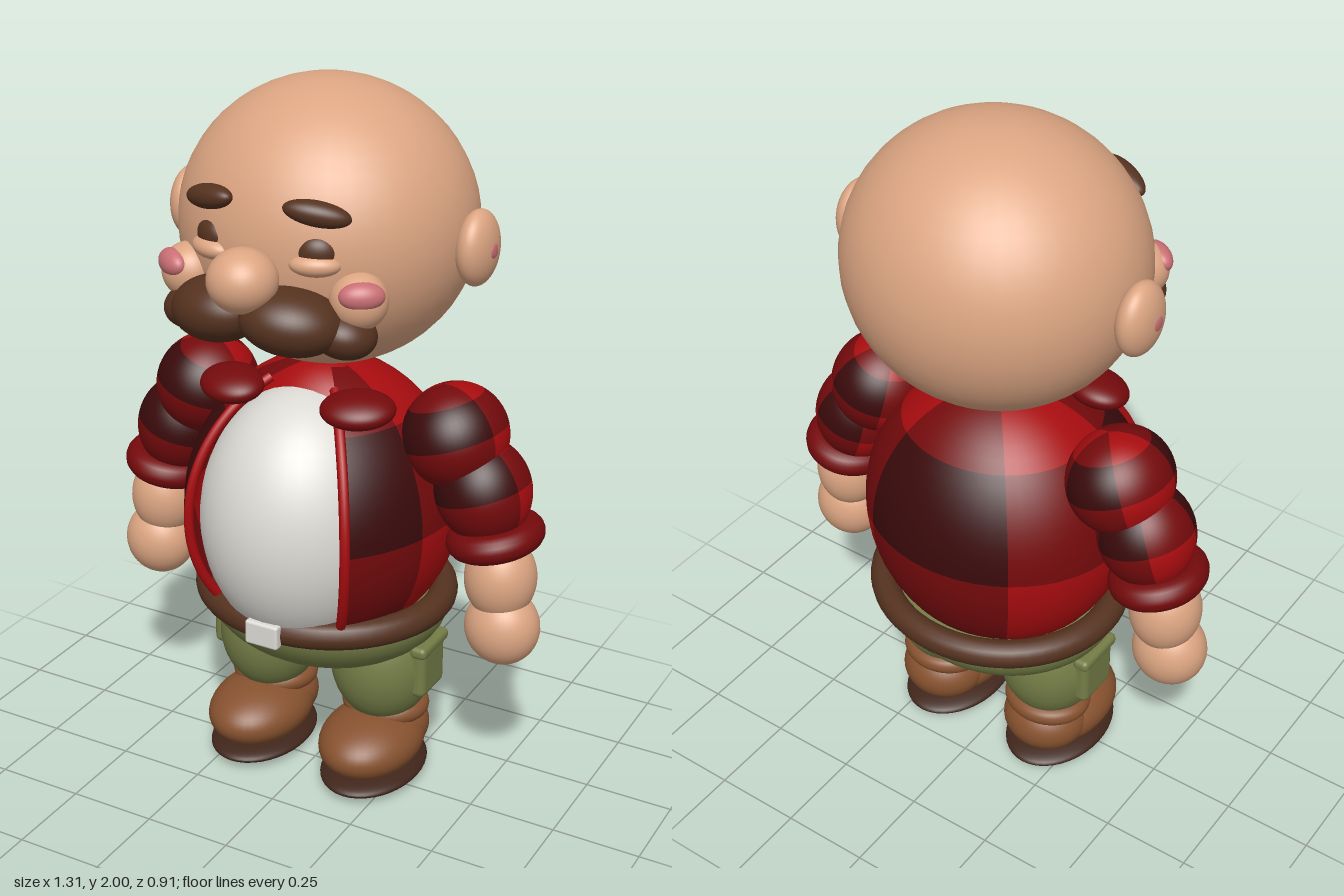
import * as THREE from 'three';
import { mergeGeometries } from 'three/addons/utils/BufferGeometryUtils.js';
import { RoundedBoxGeometry } from 'three/addons/geometries/RoundedBoxGeometry.js';

const colours = {
  skin: 0xdca582, hair: 0x55321f, blush: 0xc96f74, white: 0xdcdad4,
  red: 0xa80c0f, midRed: 0x740a0c, darkRed: 0x3a0a0b,
  olive: 0x747c46, boot: 0x87522f, sole: 0x40251a,
};

export function createModel() {
  const model = new THREE.Group();
  model.name = 'stoutMan';
  const mat = {};
  for (const [name, hex] of Object.entries(colours)) {
    mat[name] = new THREE.MeshStandardMaterial({ color: hex });
    mat[name].name = name;
  }
  for (const name of ['red', 'midRed', 'darkRed']) mat[name].side = THREE.DoubleSide;

  function add(name, geometry, material, pos = [0, 0, 0], rot = [0, 0, 0]) {
    const mesh = new THREE.Mesh(geometry, material);
    mesh.name = name;
    mesh.position.set(...pos);
    mesh.rotation.set(...rot);
    model.add(mesh);
    return mesh;
  }
  const ball = (name, material, pos, radii, rot) =>
    add(name, new THREE.SphereGeometry(1, 40, 28).scale(...radii), material, pos, rot);
  const ring = (name, material, pos, rx, rz, tube, rot) =>
    add(name, new THREE.TorusGeometry(1, tube / rx, 16, 56).rotateX(Math.PI / 2)
      .scale(rx, rx, rz), material, pos, rot);

  // Checked cloth: five columns by four rows of sphere patches, sorted by colour
  function checked(name, pos, radii, rot, gap = 0, frontDepth = radii[2]) {
    const cells = [[], [], []];
    const col = Math.PI * 2 / 5, row = Math.PI / 4;
    for (let i = 0; i < 5; i++) for (let j = 0; j < 4; j++) {
      const start = i * col + (i === 0 ? gap : 0);
      const end = (i + 1) * col - (i === 4 ? gap : 0);
      const patch = new THREE.SphereGeometry(1, 10, 8, Math.PI / 2 + start, end - start, j * row, row);
      cells[(i % 2 === 0 ? 1 : 0) + (j % 2)].push(patch);
    }
    const geometry = mergeGeometries(cells.map((list) => mergeGeometries(list)), true);
    const p = geometry.attributes.position, n = geometry.attributes.normal;
    const v = new THREE.Vector3();
    for (let k = 0; k < p.count; k++) {
      const depth = p.getZ(k) > 0 ? frontDepth : radii[2];
      v.set(n.getX(k) / radii[0], n.getY(k) / radii[1], n.getZ(k) / depth).normalize();
      n.setXYZ(k, v.x, v.y, v.z);
      p.setXYZ(k, p.getX(k) * radii[0], p.getY(k) * radii[1], p.getZ(k) * depth);
    }
    return add(name, geometry, [mat.red, mat.midRed, mat.darkRed], pos, rot);
  }

  // Head
  ball('head', mat.skin, [0, 1.62, -0.075], [0.4, 0.38, 0.383]);
  ball('nose', mat.skin, [0, 1.58, 0.365], [0.09, 0.082, 0.09]);
  ball('mouth', mat.red, [0, 1.405, 0.235], [0.075, 0.042, 0.04]);

  // Torso: open checked shirt over a white belly
  const gap = 0.68, shirt = [0.38, 0.41, 0.34], frontDepth = 0.44;
  checked('shirt', [0, 0.83, -0.07], shirt, [0, 0, 0], gap, frontDepth);
  ball('belly', mat.white, [0, 0.82, 0.05], [0.285, 0.37, 0.305]);
  ball('neckBand', mat.red, [0, 0.95, -0.05], [0.25, 0.295, 0.2]);

  // Trousers, belt and buckle
  const hips = [[0, 0.34]];
  for (let i = 1; i <= 12; i++) {
    const a = i / 12 * Math.PI / 2;
    hips.push([Math.sin(a), 0.53 - 0.19 * Math.cos(a)]);
  }
  hips.push([0.98, 0.555], [0, 0.56]);
  add('trouserSeat', new THREE.LatheGeometry(hips.map((h) => new THREE.Vector2(...h)), 56)
    .scale(0.355, 1, 0.31), mat.olive, [0, 0, -0.07]);
  ring('belt', mat.hair, [0, 0.555, -0.065], 0.337, 0.315, 0.04);
  add('buckle', new RoundedBoxGeometry(0.1, 0.07, 0.03, 3, 0.008), mat.white, [0, 0.555, 0.288]);

  for (const s of [-1, 1]) {
    const side = s > 0 ? 'left' : 'right';
    const pair = (name, material, [x, y, z], radii, [a, b, c] = [0, 0, 0]) =>
      ball(side + name, material, [s * x, y, z], radii, [a, s * b, s * c]);

    // Face
    pair('Ear', mat.skin, [0.425, 1.605, -0.08], [0.05, 0.1, 0.086]);
    pair('EarBlush', mat.blush, [0.472, 1.605, -0.075], [0.006, 0.02, 0.02]);
    pair('Eyebrow', mat.hair, [0.153, 1.745, 0.265], [0.086, 0.032, 0.035], [0, 0.38, -0.17]);
    pair('Eye', mat.hair, [0.148, 1.645, 0.255], [0.053, 0.044, 0.035], [0, 0.38, 0]);
    pair('Eyelid', mat.skin, [0.148, 1.615, 0.265], [0.066, 0.03, 0.04], [0, 0.38, 0]);
    pair('Cheek', mat.skin, [0.245, 1.525, 0.22], [0.075, 0.075, 0.072]);
    const blush = pair('Blush', mat.blush, [0.273, 1.552, 0.257], [0.058, 0.036, 0.032]);
    blush.lookAt(s * 0.773, 1.95, 0.99);
    pair('MoustacheLobe', mat.hair, [0.105, 1.475, 0.31], [0.135, 0.085, 0.11], [0, 0.35, -0.12]);
    pair('MoustacheTip', mat.hair, [0.215, 1.44, 0.24], [0.085, 0.062, 0.085], [0, 0.5, -0.2]);

    // Shirt edge and collar
    const edge = [];
    for (let i = 0; i <= 12; i++) {
      const t = 0.42 + i / 12 * 1.9;
      edge.push(new THREE.Vector3(
        s * shirt[0] * Math.sin(gap) * Math.sin(t),
        0.83 + shirt[1] * Math.cos(t),
        -0.07 + frontDepth * Math.cos(gap) * Math.sin(t)));
    }
    add(side + 'ShirtEdge', new THREE.TubeGeometry(new THREE.CatmullRomCurve3(edge), 32, 0.014, 8), mat.red);
    pair('Collar', mat.midRed, [0.19, 1.185, 0.115], [0.1, 0.042, 0.08], [0.2, 0.4, -0.05]);

    // Arm
    checked(side + 'UpperSleeve', [s * 0.385, 1.085, -0.07], [0.142, 0.142, 0.153], [0, 0, s * 0.3]);
    checked(side + 'LowerSleeve', [s * 0.47, 0.945, -0.07], [0.13, 0.145, 0.135], [0, 0, s * 0.3]);
    ring(side + 'Cuff', mat.midRed, [s * 0.512, 0.82, -0.068], 0.092, 0.1, 0.04, [0, 0, s * 0.2]);
    pair('Forearm', mat.skin, [0.535, 0.705, -0.06], [0.098, 0.12, 0.1]);
    pair('Hand', mat.skin, [0.55, 0.565, -0.05], [0.104, 0.108, 0.096]);

    // Leg, pocket and boot
    pair('TrouserLeg', mat.olive, [0.183, 0.36, -0.07], [0.15, 0.19, 0.155]);
    add(side + 'Pocket', new RoundedBoxGeometry(0.05, 0.15, 0.14, 3, 0.02), mat.olive, [s * 0.318, 0.365, -0.07]);
    add(side + 'PocketFlap', new RoundedBoxGeometry(0.05, 0.036, 0.16, 3, 0.015), mat.olive, [s * 0.325, 0.438, -0.07]);
    ring(side + 'BootCuff', mat.boot, [s * 0.183, 0.205, -0.088], 0.1, 0.09, 0.028);
    pair('Boot', mat.boot, [0.183, 0.125, -0.005], [0.142, 0.092, 0.188]);
    pair('BootHeel', mat.boot, [0.183, 0.135, -0.095], [0.125, 0.095, 0.12]);
    pair('Sole', mat.sole, [0.183, 0.032, -0.02], [0.14, 0.032, 0.198]);
  }
  return model;
}
